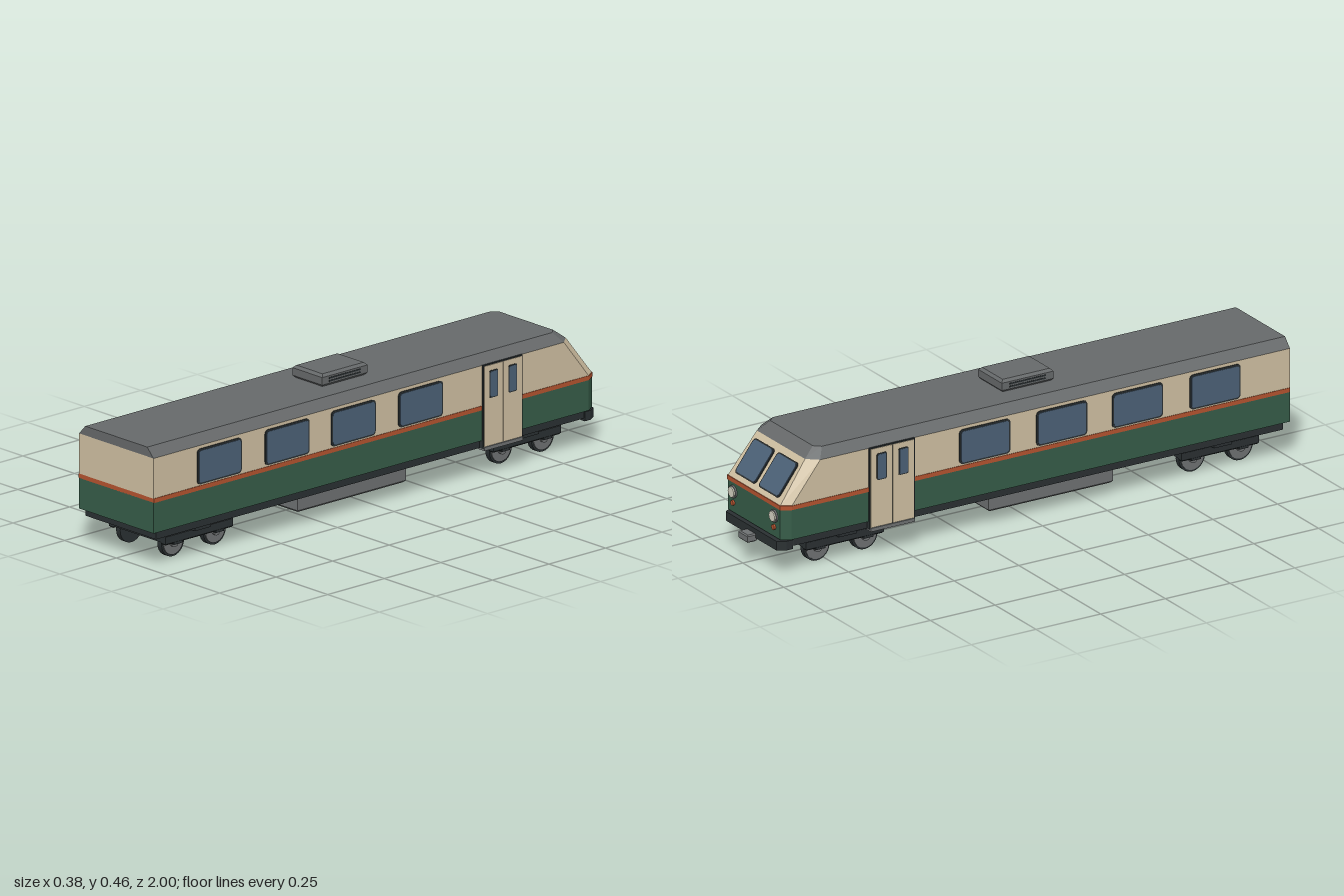
import * as THREE from 'three';

const mat = (name, color) => {
  const m = new THREE.MeshStandardMaterial({ color });
  m.name = name;
  return m;
};

export function createModel() {
  const cream = mat('cream', 0xd0c0a2), green = mat('green', 0x365c48), red = mat('red', 0xb4532f);
  const grey = mat('roof grey', 0x66696a), dark = mat('dark frame', 0x2a3032), metal = mat('metal', 0x6e7172);
  const glass = mat('glass', 0x4c6177), lamp = mat('lamp', 0xd6d2c2);

  const train = new THREE.Group();
  train.name = 'railcar';

  const add = (name, geo, material, x = 0, y = 0, z = 0, parent = train) => {
    const m = new THREE.Mesh(geo, material);
    m.name = name;
    m.position.set(x, y, z);
    parent.add(m);
    return m;
  };
  const box = (name, material, w, h, d, x, y, z, parent) =>
    add(name, new THREE.BoxGeometry(w, h, d), material, x, y, z, parent);

  // Plan outline at one height: flat end at zb, cut corners at the cab end
  const ring = (y, w, zc, wf, zn, zb = 1) =>
    [[w, zb], [w, zc], [wf, zn], [-wf, zn], [-w, zc], [-w, zb]].map(([x, z]) => [x, y, z]);

  // Faceted shell through a stack of outlines
  const loft = (rings, top = false, bottom = false) => {
    const p = [];
    for (let r = 0; r < rings.length - 1; r++) {
      const lo = rings[r], hi = rings[r + 1];
      lo.forEach((a, i) => {
        const j = (i + 1) % lo.length;
        p.push(...a, ...lo[j], ...hi[j], ...a, ...hi[j], ...hi[i]);
      });
    }
    const t = rings[rings.length - 1], b = rings[0];
    for (let i = 1; i < t.length - 1; i++) {
      if (top) p.push(...t[0], ...t[i], ...t[i + 1]);
      if (bottom) p.push(...b[0], ...b[i + 1], ...b[i]);
    }
    const g = new THREE.BufferGeometry();
    g.setAttribute('position', new THREE.Float32BufferAttribute(p, 3));
    g.computeVertexNormals();
    return g;
  };

  // Thin plate with rounded corners, facing +z
  const plate = (w, h, r, depth) => {
    const s = new THREE.Shape(), a = w / 2, b = h / 2;
    s.moveTo(-a + r, -b);
    s.lineTo(a - r, -b);
    s.absarc(a - r, -b + r, r, -Math.PI / 2, 0);
    s.absarc(a - r, b - r, r, 0, Math.PI / 2);
    s.absarc(-a + r, b - r, r, Math.PI / 2, Math.PI);
    s.absarc(-a + r, -b + r, r, Math.PI, Math.PI * 1.5);
    return new THREE.ExtrudeGeometry(s, { depth, bevelEnabled: false, curveSegments: 4 });
  };

  // Box with bevelled edges, centred
  const bevelBox = (w, h, d, b) => {
    const s = new THREE.Shape();
    const x = w / 2 - b, z = d / 2 - b;
    s.moveTo(-x, -z); s.lineTo(x, -z); s.lineTo(x, z); s.lineTo(-x, z);
    const g = new THREE.ExtrudeGeometry(s, { depth: h - 2 * b, bevelThickness: b, bevelSize: b, bevelSegments: 1 });
    return g.translate(0, 0, -h / 2 + b).rotateX(-Math.PI / 2);
  };

  // Body bands
  const low = y => ring(y, 0.18, -0.925, 0.16, -0.957);
  const eave = ring(0.385, 0.18, -0.815, 0.147, -0.853);
  add('underframe', loft([ring(0.1, 0.17, -0.91, 0.15, -0.945, 0.98), ring(0.127, 0.17, -0.91, 0.15, -0.945, 0.98)], true, true), dark);
  add('lowerBody', loft([low(0.127), low(0.233)], false, true), green);
  add('waistStripe', loft([ring(0.232, 0.182, -0.926, 0.161, -0.959), ring(0.247, 0.182, -0.926, 0.161, -0.959)], true, true), red);
  add('upperBody', loft([low(0.246), eave]), cream);
  add('roof', loft([eave, ring(0.417, 0.15, -0.79, 0.13, -0.812)], true), grey);

  // Roof ventilation unit with slatted sides
  add('roofUnit', bevelBox(0.144, 0.044, 0.2, 0.009), grey, 0, 0.438, 0.055);
  for (const s of [-1, 1])
    for (const y of [0.433, 0.443])
      box('roofUnitSlat', dark, 0.002, 0.005, 0.14, s * 0.0725, y, 0.055);

  for (const s of [-1, 1]) {
    // Side windows
    const sidePlate = (name, material, w, h, r, t, x, y, z) => {
      add(name, plate(w, h, r, t), material, s * x, y, z).rotation.y = s * Math.PI / 2;
    };
    for (const z of [0.71, 0.41, 0.1175, -0.18]) {
      sidePlate('windowSeal', dark, 0.196, 0.122, 0.014, 0.004, 0.179, 0.313, z);
      sidePlate('sideWindow', glass, 0.184, 0.11, 0.01, 0.004, 0.181, 0.313, z);
    }

    // Double door with step
    box('doorFrame', dark, 0.025, 0.286, 0.176, s * 0.1725, 0.243, -0.54);
    for (const k of [-1, 1]) {
      box('doorLeaf', cream, 0.012, 0.276, 0.082, s * 0.181, 0.244, -0.54 + k * 0.0425);
      sidePlate('doorWindowSeal', dark, 0.038, 0.094, 0.006, 0.002, 0.1865, 0.316, -0.54 + k * 0.042);
      sidePlate('doorWindow', glass, 0.031, 0.087, 0.005, 0.003, 0.1865, 0.316, -0.54 + k * 0.042);
    }
    box('doorStep', metal, 0.03, 0.012, 0.17, s * 0.175, 0.099, -0.54);

    // Windscreen halves on the sloping cab face
    const tilt = Math.atan2(0.104, 0.139);
    const screen = (name, material, w, h, r, t) => {
      add(name, plate(w, h, r, t), material, s * 0.072, 0.314, -0.9065).rotation.set(tilt, Math.PI, 0);
    };
    screen('windscreenSeal', dark, 0.126, 0.132, 0.014, 0.003);
    screen('windscreen', glass, 0.116, 0.122, 0.011, 0.005);

    // Cab lamps
    const disc = (name, material, r, y, d) =>
      add(name, new THREE.CylinderGeometry(r, r, d, 20), material, s * 0.125, y, -0.957 - d / 2).rotation.x = Math.PI / 2;
    disc('headlightRim', metal, 0.022, 0.2, 0.006);
    disc('headlight', lamp, 0.018, 0.2, 0.011);
    disc('tailLight', red, 0.009, 0.161, 0.007);

    // Equipment boxes below the floor
    add('equipmentBox', bevelBox(0.13, 0.055, 0.48, 0.007), metal, s * 0.085, 0.0725, 0.095);
  }

  // Cab bumper and coupler
  add('bumper', loft([0.09, 0.122].map(y => ring(y, 0.172, -0.94, 0.155, -0.968, -0.915)), true, true), dark);
  box('couplerShank', dark, 0.03, 0.018, 0.06, 0, 0.093, -0.955);
  add('coupler', bevelBox(0.056, 0.027, 0.036, 0.004), metal, 0, 0.092, -0.982);

  // Bogies: frame, axles, wheels and axle boxes
  for (const zc of [0.758, -0.692]) {
    const bogie = new THREE.Group();
    bogie.name = 'bogie';
    bogie.position.z = zc;
    train.add(bogie);
    box('bolster', dark, 0.16, 0.045, 0.09, 0, 0.08, 0, bogie);
    for (const s of [-1, 1]) {
      add('sideFrame', bevelBox(0.022, 0.035, 0.3, 0.005), dark, s * 0.126, 0.071, 0, bogie);
      box('endBeam', dark, 0.24, 0.032, 0.018, 0, 0.077, s * 0.141, bogie);
      box('frameSpring', dark, 0.04, 0.018, 0.07, s * 0.135, 0.093, 0, bogie);
      const za = s * 0.0925;
      const roll = (name, material, r, len, x) =>
        add(name, new THREE.CylinderGeometry(r, r, len, 24), material, x, 0.05, za, bogie).rotation.z = Math.PI / 2;
      roll('axle', dark, 0.01, 0.24, 0);
      for (const k of [-1, 1]) {
        roll('wheel', dark, 0.05, 0.02, k * 0.1);
        roll('wheelFace', metal, 0.043, 0.006, k * 0.1105);
        roll('wheelHub', metal, 0.016, 0.014, k * 0.115);
        box('axleBox', dark, 0.02, 0.03, 0.036, k * 0.126, 0.064, za, bogie);
      }
    }
  }
  return train;
}
